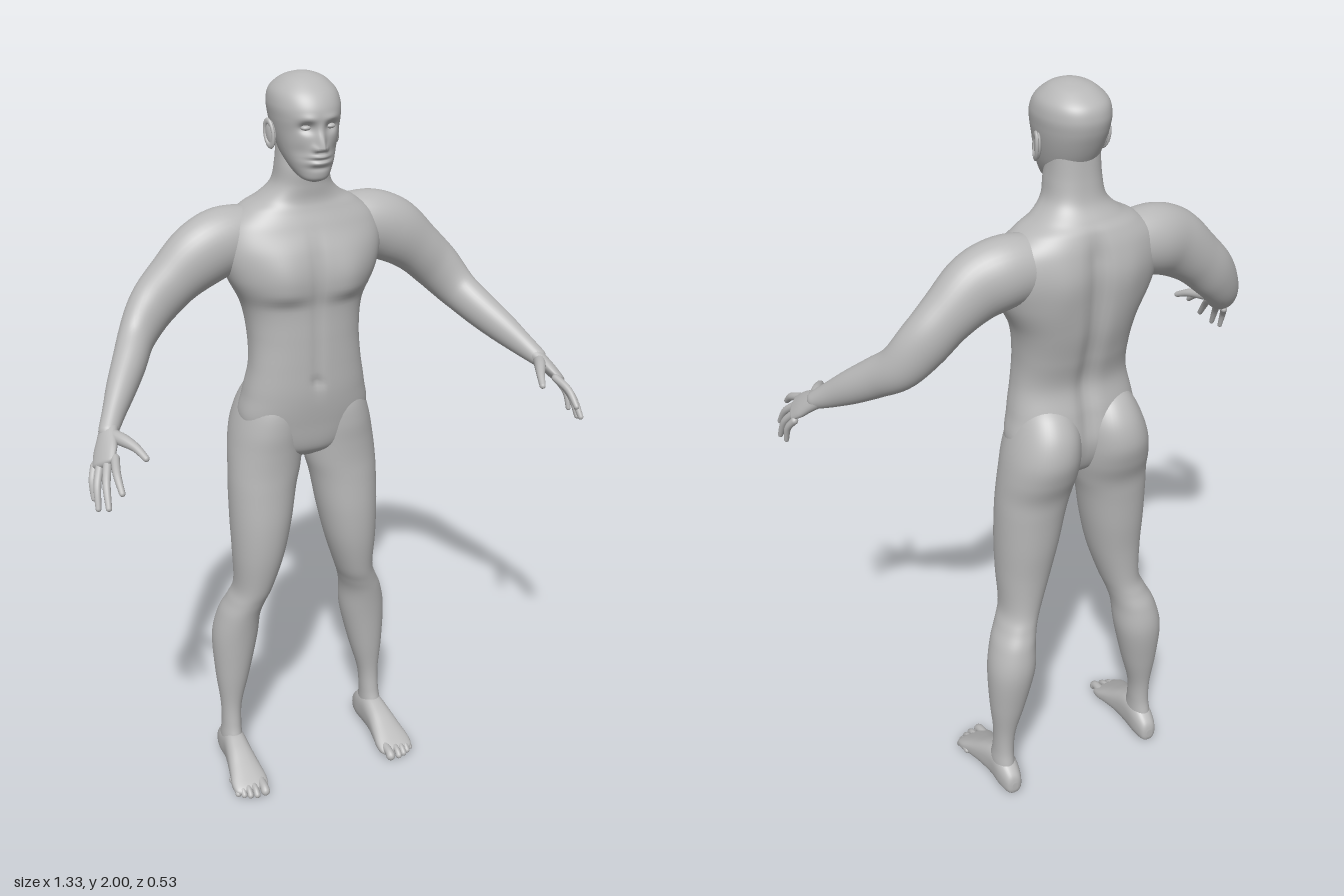
import * as THREE from 'three';

const skin = new THREE.MeshStandardMaterial({ color: 0xb8b8b8 });
skin.name = 'grey skin';

const gauss = (d, r) => Math.exp(-(d * d) / (r * r));
const smooth = THREE.MathUtils.smoothstep;

// Catmull-Rom interpolation of whole rows of numbers
function refine(rows, steps) {
  const out = [], last = rows.length - 1;
  for (let i = 0; i < last; i++) {
    const [p, q, r, s] = [rows[Math.max(i - 1, 0)], rows[i], rows[i + 1], rows[Math.min(i + 2, last)]];
    for (let k = 0; k < steps; k++) {
      const t = k / steps;
      out.push(q.map((_, j) => 0.5 * (2 * q[j] + (r[j] - p[j]) * t
        + (2 * p[j] - 5 * q[j] + 4 * r[j] - s[j]) * t * t
        + (3 * q[j] - p[j] - 3 * r[j] + s[j]) * t * t * t)));
    }
  }
  out.push(rows[last]);
  return out;
}

// Skin over a list of rings, closed at both ends
function skinRings(rings) {
  const n = rings[0].length, m = rings.length, pos = [], idx = [];
  rings.forEach(ring => ring.forEach(p => pos.push(p.x, p.y, p.z)));
  for (let i = 0; i < m - 1; i++) for (let j = 0; j < n; j++) {
    const a = i * n + j, b = i * n + (j + 1) % n;
    idx.push(a, b, a + n, b, b + n, a + n);
  }
  [0, m - 1].forEach((r, end) => {
    const c = rings[r].reduce((s, p) => s.add(p), new THREE.Vector3()).divideScalar(n);
    pos.push(c.x, c.y, c.z);
    for (let j = 0; j < n; j++) {
      const a = r * n + j, b = r * n + (j + 1) % n;
      end ? idx.push(a, b, m * n + 1) : idx.push(b, a, m * n);
    }
  });
  const g = new THREE.BufferGeometry();
  g.setAttribute('position', new THREE.Float32BufferAttribute(pos, 3));
  g.setIndex(idx);
  g.computeVertexNormals();
  return g;
}

// Rows [s, x0, x1, b0, b1]: b is z (front, back) along 'y', or y (top, bottom) along 'z'
function loft(rows, axis, power = 2, n = 48, steps = 6) {
  const bend = v => Math.sign(v) * Math.abs(v) ** (2 / power);
  return skinRings(refine(rows, steps).map(([s, x0, x1, b0, b1]) => Array.from({ length: n }, (_, j) => {
    const a = j / n * Math.PI * 2;
    const x = (x0 + x1) / 2 + (x0 - x1) / 2 * bend(Math.cos(a));
    const b = (b0 + b1) / 2, h = (b0 - b1) / 2 * bend(Math.sin(a));
    return axis === 'y' ? new THREE.Vector3(x, s, b - h) : new THREE.Vector3(x, b + h, s);
  })));
}

// Round-ended tube through rows [x, y, z, side radius, up radius]
function limb(rows, up = new THREE.Vector3(0, 1, 0), n = 24, steps = 6) {
  const r = refine(rows, steps), rings = [];
  const at = i => new THREE.Vector3(...r[i].slice(0, 3));
  r.forEach((row, i) => {
    const t = at(Math.min(i + 1, r.length - 1)).sub(at(Math.max(i - 1, 0))).normalize();
    const v = up.clone().addScaledVector(t, -t.dot(up)).normalize();
    const u = v.clone().cross(t);
    const ring = (k, off) => rings.push(Array.from({ length: n }, (_, j) => {
      const a = j / n * Math.PI * 2;
      return at(i).addScaledVector(t, off).addScaledVector(u, Math.cos(a) * row[3] * k)
        .addScaledVector(v, Math.sin(a) * row[4] * k);
    }));
    const cap = Math.min(row[3], row[4]), dome = [0.25, 0.55, 0.8, 0.95];
    if (i === 0) dome.forEach(k => ring(k, -cap * Math.sqrt(1 - k * k)));
    ring(1, 0);
    if (i === r.length - 1) dome.reverse().forEach(k => ring(k, cap * Math.sqrt(1 - k * k)));
  });
  return skinRings(rings);
}

// Move the vertices by a rule
function deform(g, rule) {
  const p = g.attributes.position, v = new THREE.Vector3();
  for (let i = 0; i < p.count; i++) {
    rule(v.fromBufferAttribute(p, i));
    p.setXYZ(i, v.x, v.y, v.z);
  }
  g.computeVertexNormals();
  return g;
}

function mirror(g) {
  const m = g.clone().scale(-1, 1, 1), ix = m.index.array;
  for (let i = 0; i < ix.length; i += 3) [ix[i], ix[i + 1]] = [ix[i + 1], ix[i]];
  m.computeVertexNormals();
  return m;
}

export function createModel() {
  const model = new THREE.Group();
  model.name = 'standing figure';
  const add = (name, g) => {
    const mesh = new THREE.Mesh(g, skin);
    mesh.name = name;
    model.add(mesh);
  };
  const pair = (name, g) => {
    add('left ' + name, g);
    add('right ' + name, mirror(g));
  };

  // Torso and neck: [height, half width, front, back]
  const torso = loft([
    [0.985, 0.04, -0.09, -0.16], [1.02, 0.12, -0.05, -0.2], [1.1, 0.178, -0.033, -0.23],
    [1.18, 0.168, -0.022, -0.222], [1.26, 0.153, -0.02, -0.206], [1.34, 0.15, -0.02, -0.225],
    [1.42, 0.162, -0.02, -0.246], [1.5, 0.2, -0.012, -0.257], [1.57, 0.215, -0.02, -0.262],
    [1.63, 0.2, -0.042, -0.254], [1.67, 0.155, -0.058, -0.24], [1.695, 0.11, -0.064, -0.222],
    [1.73, 0.076, -0.062, -0.2], [1.78, 0.066, -0.06, -0.19], [1.84, 0.06, -0.08, -0.185],
  ].map(([y, w, f, b]) => [y, w, -w, f, b]), 'y', 2.35, 96, 8);
  add('torso', deform(torso, v => {
    const ax = Math.abs(v.x);
    if (v.z < -0.14) { // spine furrow and shoulder blades
      const span = smooth(v.y, 1.02, 1.15) * (1 - smooth(v.y, 1.6, 1.7));
      v.z += 0.016 * gauss(v.x, 0.024) * span - 0.007 * gauss(ax - 0.085, 0.045) * gauss(v.y - 1.55, 0.09);
    } else { // chest, midline and navel
      const chest = smooth(v.y, 1.425, 1.47) * (1 - smooth(v.y, 1.5, 1.62));
      v.z += 0.014 * chest * gauss(ax - 0.085, 0.06);
      v.z -= 0.005 * gauss(v.x, 0.014) * smooth(v.y, 1.15, 1.25) * (1 - smooth(v.y, 1.55, 1.65));
      v.z -= 0.008 * Math.hypot(gauss(v.x, 0.012) * gauss(v.y - 1.22, 0.014), 0);
    }
  }));

  // Head with brow, sockets, nose, lips and chin
  const head = loft([
    [1.748, 0.014, -0.03, -0.06], [1.757, 0.034, -0.014, -0.085], [1.778, 0.05, -0.008, -0.135],
    [1.805, 0.062, -0.004, -0.17], [1.835, 0.071, -0.004, -0.19], [1.87, 0.079, -0.005, -0.207],
    [1.9, 0.084, -0.001, -0.218], [1.93, 0.086, -0.005, -0.222], [1.96, 0.078, -0.024, -0.212],
    [1.985, 0.053, -0.056, -0.178], [1.996, 0.027, -0.083, -0.146], [2, 0.006, -0.105, -0.12],
  ].map(([y, w, f, b]) => [y, w, -w, f, b]), 'y', 2.15, 128, 8);
  add('head', deform(head, v => {
    if (v.z < -0.07) return;
    const ax = Math.abs(v.x), y = v.y;
    const bridge = smooth(y, 1.824, 1.836) * (1 - smooth(y, 1.836, 1.9));
    v.z -= 0.014 * gauss(ax - 0.032, 0.017) * gauss(y - 1.884, 0.013);
    v.z += 0.004 * gauss(ax - 0.03, 0.022) * gauss(y - 1.906, 0.009);
    v.z += 0.022 * bridge * gauss(v.x, 0.011) + 0.008 * gauss(ax - 0.014, 0.007) * gauss(y - 1.834, 0.008);
    v.z += 0.008 * gauss(v.x, 0.024) * (gauss(y - 1.815, 0.006) + gauss(y - 1.799, 0.007));
    v.z -= 0.005 * gauss(v.x, 0.028) * gauss(y - 1.807, 0.003) + 0.004 * gauss(v.x, 0.03) * gauss(y - 1.786, 0.007);
    v.z -= 0.005 * gauss(ax - 0.045, 0.018) * gauss(y - 1.825, 0.02);
  }));
  pair('eye', new THREE.SphereGeometry(0.011, 20, 14).scale(1.15, 0.6, 1).translate(0.032, 1.884, -0.022));

  // Ears: dished shell with a rim
  const tilt = g => g.rotateX(-0.2).rotateY(-0.3).translate(0.085, 1.857, -0.115);
  pair('ear', tilt(new THREE.SphereGeometry(1, 20, 16).scale(0.008, 0.033, 0.018)));
  pair('ear rim', tilt(new THREE.TorusGeometry(0.016, 0.0045, 10, 28).rotateY(Math.PI / 2)
    .scale(1, 1.85, 1).translate(0.005, 0, 0)));

  // Legs: [height, outer, inner, front, back]
  pair('leg', loft([
    [0.03, 0.248, 0.198, -0.13, -0.2], [0.08, 0.254, 0.196, -0.105, -0.199], [0.13, 0.25, 0.196, -0.115, -0.191],
    [0.2, 0.25, 0.19, -0.12, -0.195], [0.3, 0.26, 0.163, -0.11, -0.215], [0.42, 0.264, 0.136, -0.098, -0.234],
    [0.5, 0.247, 0.13, -0.086, -0.225], [0.55, 0.224, 0.118, -0.074, -0.208], [0.6, 0.207, 0.1, -0.06, -0.198],
    [0.7, 0.21, 0.068, -0.042, -0.202], [0.8, 0.213, 0.045, -0.036, -0.214], [0.9, 0.213, 0.027, -0.04, -0.223],
    [0.96, 0.21, 0.012, -0.042, -0.231], [1.02, 0.204, 0.004, -0.04, -0.253], [1.08, 0.193, 0.003, -0.036, -0.266],
    [1.14, 0.174, 0.006, -0.04, -0.255], [1.19, 0.15, 0.024, -0.06, -0.222], [1.22, 0.12, 0.06, -0.1, -0.18],
  ], 'y', 2.1));

  // Feet: [z, outer, inner, top, bottom]
  pair('foot', loft([
    [-0.226, 0.232, 0.214, 0.045, 0.02], [-0.217, 0.246, 0.2, 0.07, 0.004], [-0.18, 0.256, 0.191, 0.1, 0],
    [-0.13, 0.258, 0.19, 0.11, 0.002], [-0.08, 0.266, 0.188, 0.093, 0.004], [-0.03, 0.276, 0.182, 0.066, 0.003],
    [0.005, 0.283, 0.178, 0.046, 0], [0.03, 0.28, 0.182, 0.031, 0.002], [0.04, 0.268, 0.194, 0.022, 0.008],
  ], 'z', 2.5, 36));
  [[0.2, 0.068, 0.0135], [0.226, 0.066, 0.0095], [0.244, 0.06, 0.009], [0.26, 0.051, 0.0088], [0.274, 0.039, 0.0085]]
    .forEach(([x, tip, r], i) => pair('toe ' + (i + 1), limb([
      [x, 0.024, tip - 0.06, r, r], [x, 0.022, tip - 0.025, r * 0.9, r * 0.9], [x, r + 0.001, tip - r, r, r],
    ], undefined, 14, 4)));

  // Arms, shoulder to wrist
  pair('arm', limb([
    [0.12, 1.592, -0.162, 0.07, 0.078], [0.2, 1.588, -0.158, 0.076, 0.088], [0.268, 1.562, -0.15, 0.07, 0.086],
    [0.34, 1.507, -0.148, 0.06, 0.071], [0.4, 1.448, -0.142, 0.052, 0.065], [0.45, 1.387, -0.116, 0.045, 0.056],
    [0.49, 1.342, -0.06, 0.042, 0.05], [0.53, 1.301, -0.005, 0.036, 0.043],
    [0.565, 1.265, 0.045, 0.028, 0.033], [0.592, 1.238, 0.085, 0.024, 0.024],
  ], undefined, 36));

  // Hands
  const across = new THREE.Vector3(-0.04, 0.035, 0.055).normalize();
  pair('palm', limb([
    [0.583, 1.247, 0.07, 0.021, 0.023], [0.6, 1.228, 0.1, 0.018, 0.03],
    [0.614, 1.208, 0.128, 0.016, 0.037], [0.626, 1.191, 0.151, 0.012, 0.036],
  ], across));
  const finger = (name, knuckle, tip, r) => {
    const mid = knuckle.map((k, i) => (k + tip[i]) / 2 + [0.005, 0.006, 0.004][i]);
    pair(name, limb([[...knuckle, r * 1.1, r * 1.1], [...mid, r, r], [...tip, r * 0.75, r * 0.75]], across, 14, 5));
  };
  finger('index finger', [0.602, 1.205, 0.168], [0.614, 1.155, 0.256], 0.0098);
  finger('middle finger', [0.619, 1.192, 0.16], [0.643, 1.113, 0.237], 0.0098);
  finger('ring finger', [0.634, 1.18, 0.144], [0.658, 1.097, 0.198], 0.0093);
  finger('little finger', [0.642, 1.172, 0.122], [0.657, 1.104, 0.156], 0.0085);
  pair('thumb', limb([
    [0.593, 1.235, 0.095, 0.016, 0.016], [0.572, 1.232, 0.135, 0.015, 0.016],
    [0.552, 1.224, 0.172, 0.011, 0.011], [0.538, 1.208, 0.206, 0.008, 0.008],
  ], undefined, 16));

  return model;
}
